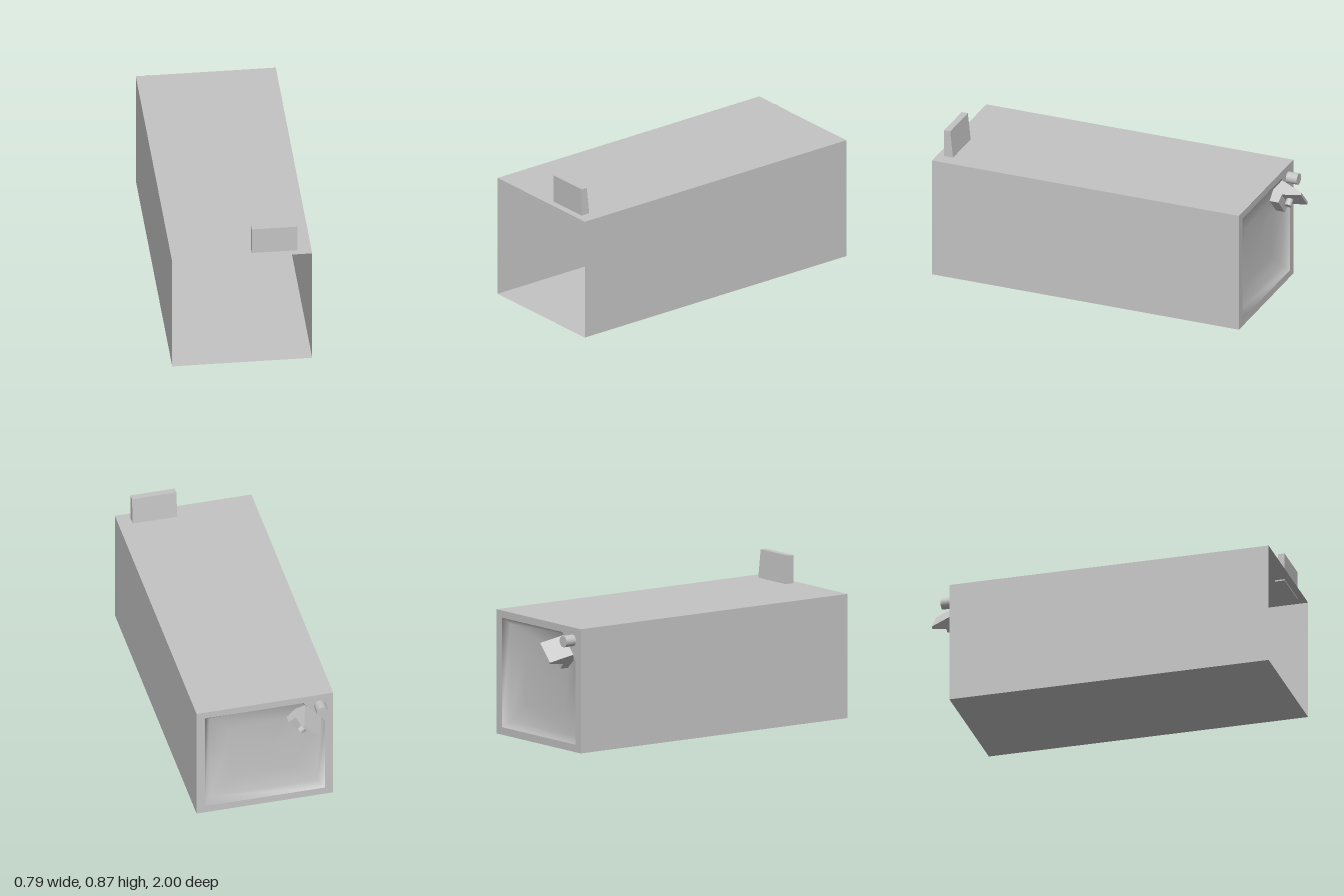
import * as THREE from 'three';

const grey = new THREE.MeshStandardMaterial({ color: 0xc4c4c4, side: THREE.DoubleSide });
grey.name = 'plain grey';

const W = 0.395, H = 0.708, BACK = -0.866, FRONT = 1;

function part(name, geometry, parent) {
  const mesh = new THREE.Mesh(geometry, grey);
  mesh.name = name;
  parent.add(mesh);
  return mesh;
}

function polygon(points) {
  return new THREE.Shape(points.map(([x, y]) => new THREE.Vector2(x, y)));
}

// Extrudes a profile and centres it along its depth
function slab(points, depth) {
  return new THREE.ExtrudeGeometry(polygon(points), { depth, bevelEnabled: false })
    .translate(0, 0, -depth / 2);
}

// Joins loops of corners into a smooth dish closed by a centre point
function dish(loops, centre) {
  const n = loops[0].length;
  const positions = [...loops.flat(2), ...centre];
  const index = [];
  for (let r = 0; r < loops.length; r++) {
    for (let i = 0; i < n; i++) {
      const a = r * n + i, b = r * n + (i + 1) % n;
      if (r < loops.length - 1) index.push(a, b, b + n, a, b + n, a + n);
      else index.push(a, b, loops.length * n);
    }
  }
  const g = new THREE.BufferGeometry();
  g.setAttribute('position', new THREE.Float32BufferAttribute(positions, 3));
  g.setIndex(index);
  g.computeVertexNormals();
  return g;
}

export function createModel() {
  const model = new THREE.Group();
  model.name = 'boxHousing';

  // Four walls, open at the front
  const length = FRONT - BACK, midZ = (FRONT + BACK) / 2;
  for (const side of [-1, 1]) {
    part(side > 0 ? 'leftWall' : 'rightWall', new THREE.PlaneGeometry(length, H), model)
      .position.set(side * W, H / 2, midZ);
    model.children.at(-1).rotation.y = side * Math.PI / 2;
    part(side > 0 ? 'roof' : 'floor', new THREE.PlaneGeometry(2 * W, length), model)
      .position.set(0, side > 0 ? H : 0, midZ);
    model.children.at(-1).rotation.x = -side * Math.PI / 2;
  }

  // Rear frame with a clipped corner in its opening
  const rim = [[-0.347, 0.043], [0.346, 0.043], [0.346, 0.667], [-0.222, 0.667], [-0.347, 0.518]];
  const frame = polygon([[-W, 0], [W, 0], [W, H], [-W, H]]);
  frame.holes.push(polygon(rim));
  part('rearFrame', new THREE.ShapeGeometry(frame), model).position.z = BACK;
  model.children.at(-1).rotation.y = 0;

  // Rear panel dished into the housing
  const inner = [[-0.312, 0.08], [0.312, 0.08], [0.312, 0.633], [-0.215, 0.65], [-0.335, 0.508]];
  const cx = 0, cy = 0.355;
  const loops = [
    rim.map(([x, y]) => [x, y, BACK]),
    inner.map(([x, y]) => [x, y, BACK + 0.035]),
    inner.map(([x, y]) => [cx + (x - cx) * 0.6, cy + (y - cy) * 0.6, BACK + 0.048]),
  ];
  part('rearPanel', dish(loops, [cx, cy, BACK + 0.053]), model);

  // Sight tab on the roof, tapering upwards
  const tab = part('roofTab', slab([[-0.96, 0.7], [-0.905, 0.7], [-0.923, 0.868], [-0.96, 0.868]], 0.257), model);
  tab.rotation.y = Math.PI / 2;
  tab.position.x = 0.187;

  // Latch across the clipped corner: local x points inwards, y points out of the back
  const latch = new THREE.Group();
  latch.name = 'latch';
  const inward = new THREE.Vector3(0.73, -0.683, 0);
  const outward = new THREE.Vector3(0, 0, -1);
  const along = new THREE.Vector3().crossVectors(inward, outward);
  latch.setRotationFromMatrix(new THREE.Matrix4().makeBasis(inward, outward, along));
  latch.position.set(-0.232, 0.558, BACK);
  part('latchBracket', slab([[-0.065, 0], [0, -0.035], [0.07, -0.035], [0.07, 0.018],
    [0.02, 0.024], [0.002, 0.134], [-0.012, 0.134]], 0.136), latch);
  const peg = part('latchPeg', new THREE.CylinderGeometry(0.02, 0.02, 0.05, 16), latch);
  peg.rotation.z = Math.PI / 2;
  peg.position.set(0.03, 0.052, 0);
  model.add(latch);

  // Round stud beside the latch
  const stud = part('stud', new THREE.CylinderGeometry(0.033, 0.033, 0.066, 20), model);
  stud.rotation.x = Math.PI / 2;
  stud.position.set(-0.318, 0.634, BACK - 0.033);

  return model;
}
